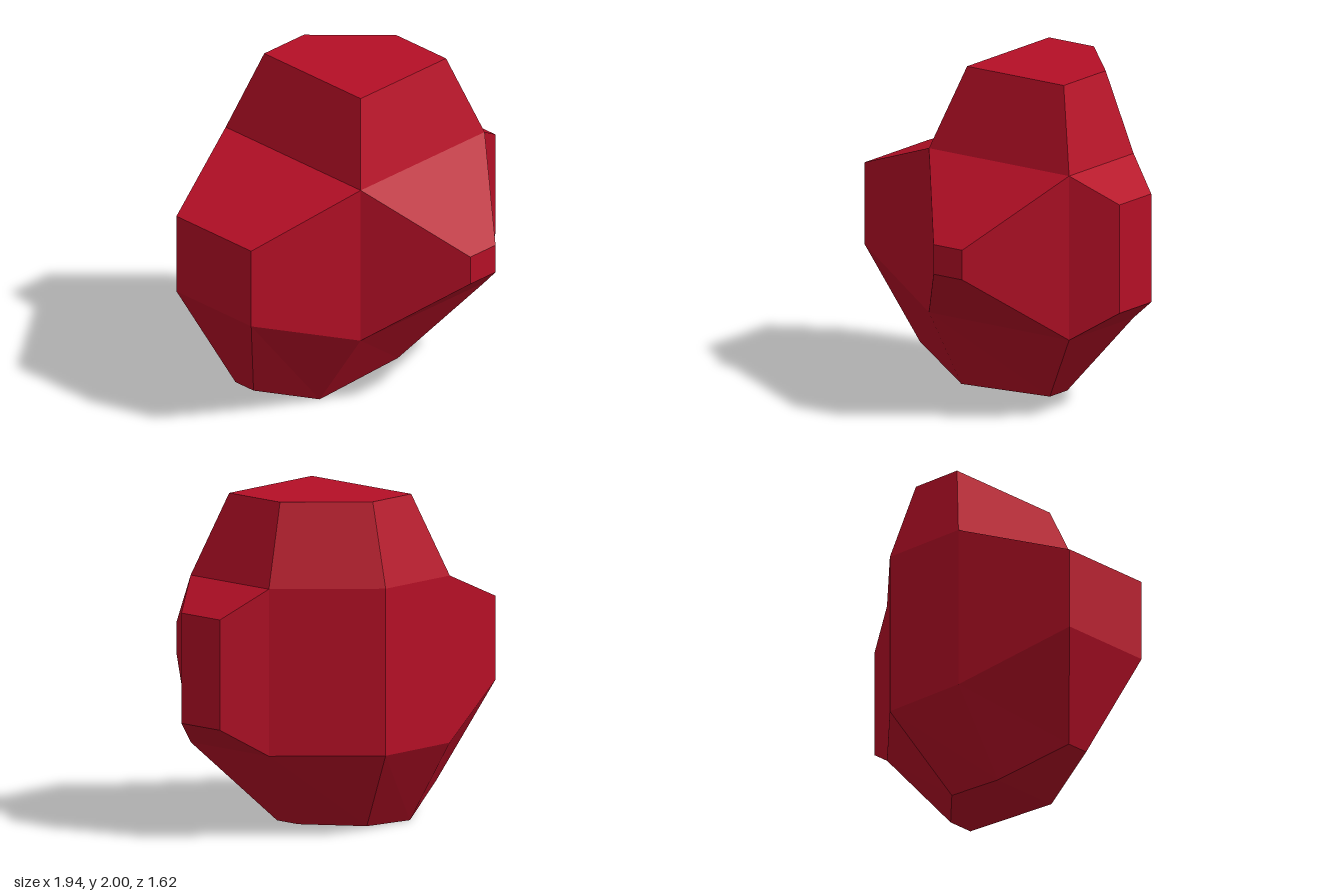
import * as THREE from 'three';

const LOW = 0.51, HIGH = 1.51;
const CENTRE = new THREE.Vector3(0.1, 1, -0.25);

// Core outline in plan (x, z): a box with one back corner cut off
const PLAN = [[-0.31, 0.31], [0.72, 0.31], [0.72, -0.32], [0.24, -0.81], [-0.31, -0.81]];
const at = (y) => PLAN.map(([x, z]) => [x, y, z]);

// Flat-shaded mesh from convex faces, each turned to face away from the core
function facets(name, faces, material) {
  const pos = [];
  for (const face of faces) {
    const p = face.map((c) => new THREE.Vector3(...c));
    for (let i = 1; i < p.length - 1; i++) {
      let [a, b, c] = [p[0], p[i], p[i + 1]];
      const normal = b.clone().sub(a).cross(c.clone().sub(a));
      if (normal.dot(a.clone().sub(CENTRE)) < 0) [b, c] = [c, b];
      pos.push(...a.toArray(), ...b.toArray(), ...c.toArray());
    }
  }
  const geo = new THREE.BufferGeometry();
  geo.setAttribute('position', new THREE.Float32BufferAttribute(pos, 3));
  geo.computeVertexNormals();
  const mesh = new THREE.Mesh(geo, material);
  mesh.name = name;
  return mesh;
}

// Side faces between two rings with matching corners
const sides = (a, b) => a.map((p, i) => {
  const j = (i + 1) % a.length;
  return [p, a[j], b[j], b[i]];
});

// Rectangular rings, starting with the lower edge
const ringX = (x, y0, y1, z0, z1) => [[x, y0, z0], [x, y0, z1], [x, y1, z1], [x, y1, z0]];
const ringZ = (z, y0, y1, x0, x1) => [[x0, y0, z], [x1, y0, z], [x1, y1, z], [x0, y1, z]];

export function createModel() {
  const group = new THREE.Group();
  group.name = 'facetedRock';
  const red = new THREE.MeshStandardMaterial({ color: 0xb50f26, flatShading: true });
  red.name = 'crimson';
  const add = (name, faces) => group.add(facets(name, faces, red));

  // Exposed core walls: the cut corner and the back
  const low = at(LOW), high = at(HIGH);
  add('coreWalls', sides(low, high).slice(2, 4));

  // Tapered top
  const top = [[-0.15, 2, 0.15], [0.56, 2, 0.15], [0.56, 2, -0.26], [0.18, 2, -0.65], [-0.15, 2, -0.65]];
  add('crown', [...sides(high, top), top]);

  // Front spur
  const tip = ringZ(0.81, 0.92, 1.1, 0.1, 0.31);
  add('frontSpur', [...sides(ringZ(0.31, LOW, HIGH, -0.31, 0.72), tip), tip]);

  // Left bump
  const leftEnd = ringX(0.97, 0.68, 1.34, -0.16, 0.15);
  add('leftBump', [...sides(ringX(0.72, LOW, HIGH, -0.32, 0.31), leftEnd), leftEnd]);

  // Right bump, open below where the base joins it
  const rightEnd = ringX(-0.97, 0.76, 1.26, -0.56, 0.06);
  add('rightBump', [...sides(ringX(-0.31, LOW, HIGH, -0.81, 0.31), rightEnd).slice(1), rightEnd]);

  // Base, tapering in under both the core and the right bump
  const rim = [...low, rightEnd[0], rightEnd[1]];
  const foot = [
    [-0.32, 0, -0.02], [0.33, 0.03, -0.02], [0.33, 0.03, -0.19], [0.05, 0.017, -0.48],
    [-0.32, 0, -0.48], [-0.73, 0.16, -0.31], [-0.73, 0.16, -0.16],
  ];
  add('base', [...sides(rim, foot), foot.slice(0, 5), [foot[0], foot[4], foot[5], foot[6]]]);

  return group;
}
